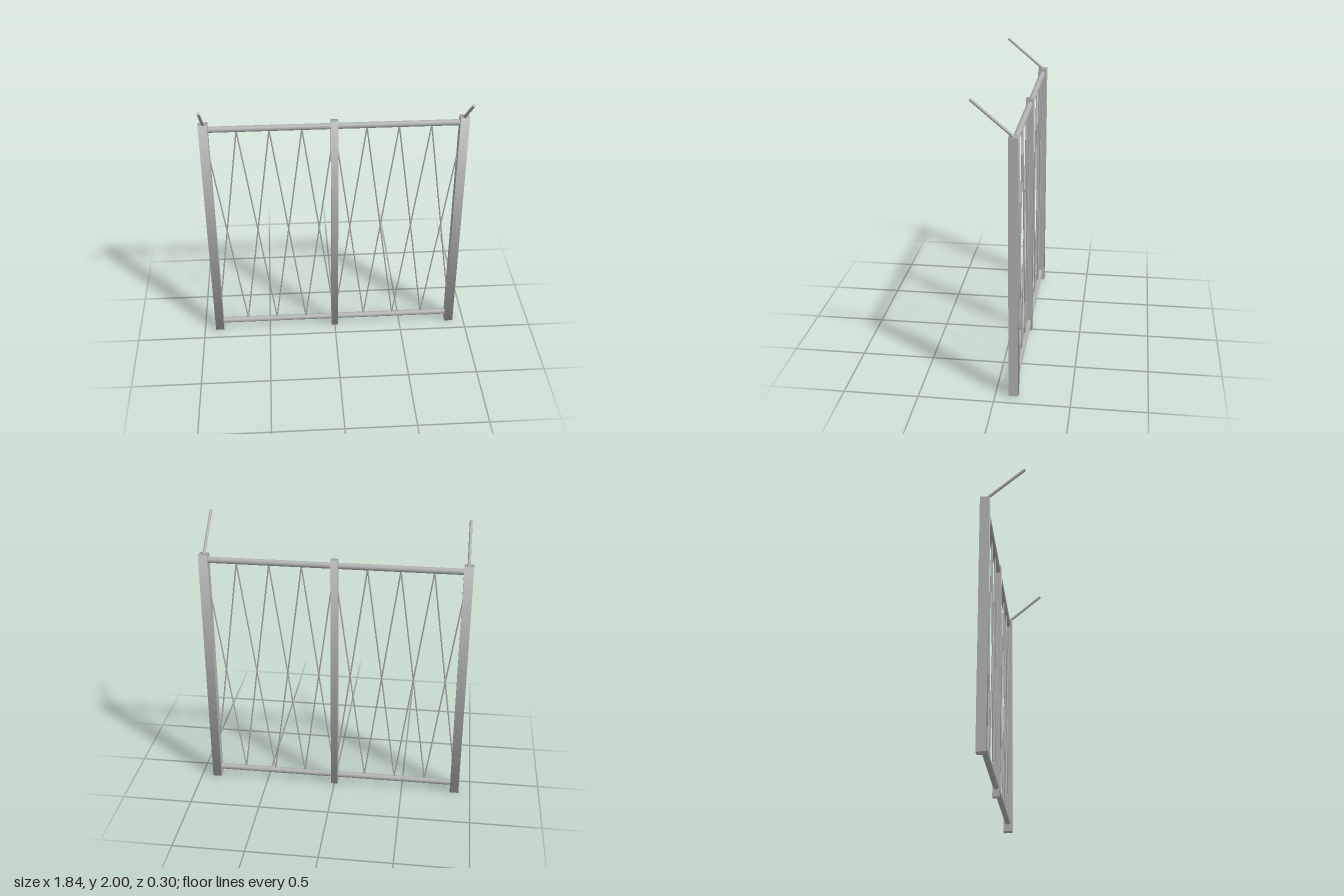
import * as THREE from 'three';

export function createModel() {
  const model = new THREE.Group();
  const steel = new THREE.MeshStandardMaterial({ color: 0xb0b0b0 });
  steel.name = 'steelGrey';

  const Z = -0.12;        // plane of the fence panel
  const POST_X = 0.886;   // centre of the end posts
  const RAIL_LOW = 0.07;
  const RAIL_HIGH = 1.732;
  const RAIL_R = 0.021;

  const add = (name, geometry, parent = model) => {
    const mesh = new THREE.Mesh(geometry, steel);
    mesh.name = name;
    parent.add(mesh);
    return mesh;
  };

  // Square post with normals softened around the x axis
  const post = (name, x, width, height, depth) => {
    const g = new THREE.CylinderGeometry(Math.SQRT1_2, Math.SQRT1_2, 1, 4);
    g.rotateY(Math.PI / 4).rotateZ(Math.PI / 2);
    const p = g.attributes.position;
    for (let i = 0; i < p.count; i++) {
      p.setXYZ(i, p.getX(i) * width, p.getY(i) * height, p.getZ(i) * depth);
    }
    add(name, g).position.set(x, height / 2, Z);
  };

  // Round bar between two points
  const up = new THREE.Vector3(0, 1, 0);
  const bar = (name, a, b, radius, sides, parent = model) => {
    const start = new THREE.Vector3(...a);
    const dir = new THREE.Vector3(...b).sub(start);
    const mesh = add(name, new THREE.CylinderGeometry(radius, radius, dir.length(), sides), parent);
    mesh.position.copy(start).addScaledVector(dir, 0.5);
    mesh.quaternion.setFromUnitVectors(up, dir.normalize());
  };

  // Posts
  post('leftPost', POST_X, 0.063, 1.772, 0.064);
  post('rightPost', -POST_X, 0.063, 1.772, 0.064);
  post('middlePost', 0, 0.05, 1.772, 0.05);

  // Rails
  bar('topRail', [-POST_X, RAIL_HIGH, Z], [POST_X, RAIL_HIGH, Z], RAIL_R, 20);
  bar('bottomRail', [-POST_X, RAIL_LOW, Z], [POST_X, RAIL_LOW, Z], RAIL_R, 20);

  // Crossed lattice rods, one X per bay
  const lattice = new THREE.Group();
  lattice.name = 'lattice';
  model.add(lattice);
  const bays = 8;
  const pitch = (2 * POST_X) / bays;
  const y0 = RAIL_LOW + 0.015;
  const y1 = RAIL_HIGH - 0.015;
  for (let i = 0; i < bays; i++) {
    const x0 = -POST_X + i * pitch;
    const x1 = x0 + pitch;
    bar('risingRod', [x0, y0, Z], [x1, y1, Z], 0.005, 8, lattice);
    bar('fallingRod', [x0, y1, Z], [x1, y0, Z], 0.005, 8, lattice);
  }

  // Slanted arms leaning forward from the end posts
  for (const s of [1, -1]) {
    bar(s > 0 ? 'leftArm' : 'rightArm',
      [s * (POST_X - 0.002), 1.768, -0.122], [s * (POST_X - 0.002), 1.992, 0.143], 0.01, 12);
  }

  return model;
}
